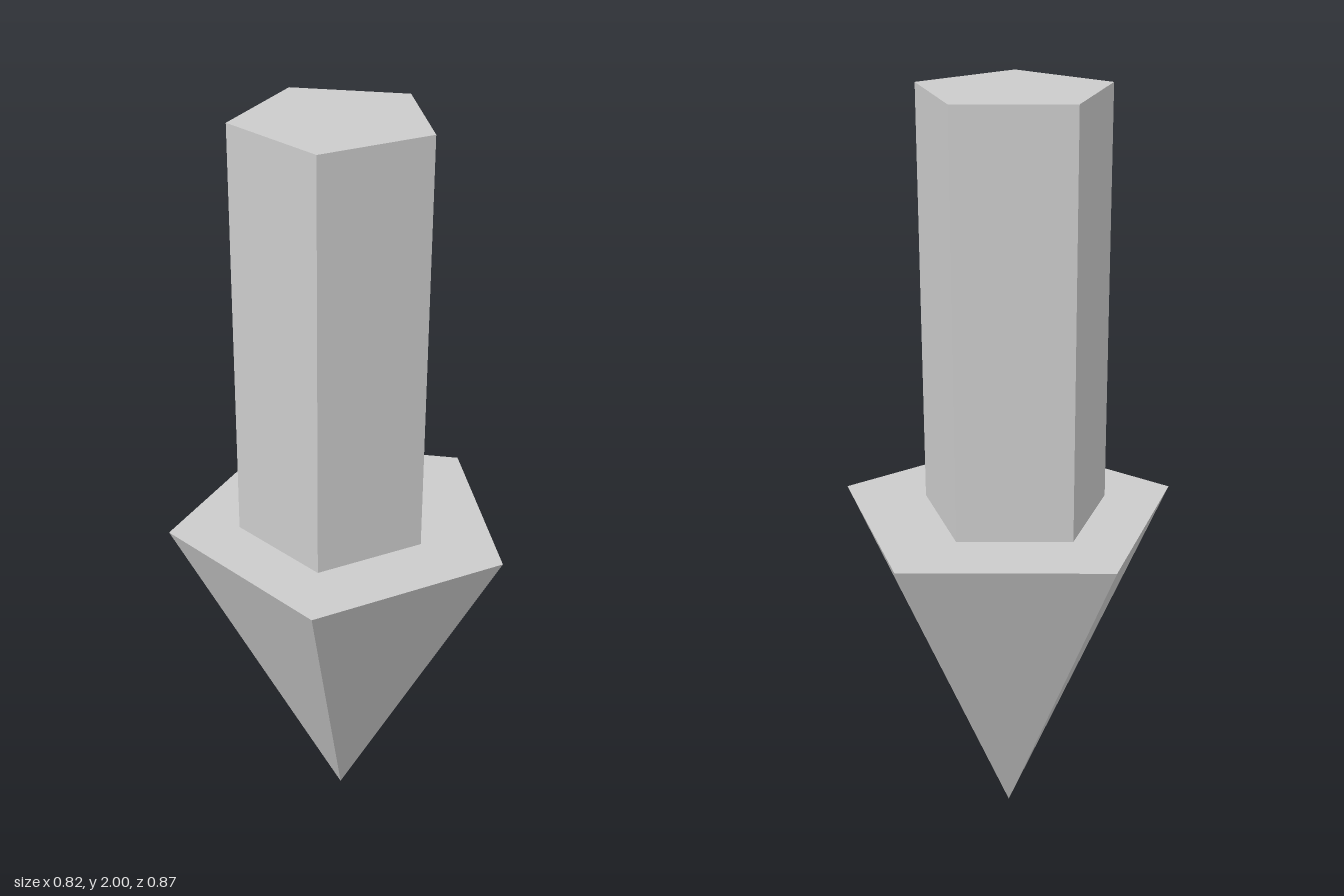
import * as THREE from 'three';

const material = new THREE.MeshStandardMaterial({ color: 0xcccccc, flatShading: true });

// Upright five-sided prism or pyramid between two heights, one corner pointing to -x
function pentagonPart(name, radiusTop, radiusBottom, y0, y1, x) {
  const geometry = new THREE.CylinderGeometry(radiusTop, radiusBottom, y1 - y0, 5, 1, false, -Math.PI / 2);
  const mesh = new THREE.Mesh(geometry, material);
  mesh.name = name;
  mesh.position.set(x, (y0 + y1) / 2, 0);
  return mesh;
}

export function createModel() {
  const group = new THREE.Group();
  group.name = 'downArrow';
  const neck = 0.915;

  // Pointed head, tip on the ground
  group.add(pentagonPart('arrowHead', 0.4555, 0, 0, neck, 0.0435));

  // Straight shaft, set slightly off the head's axis
  group.add(pentagonPart('shaft', 0.2504, 0.2504, neck, 2, 0.0224));

  return group;
}
